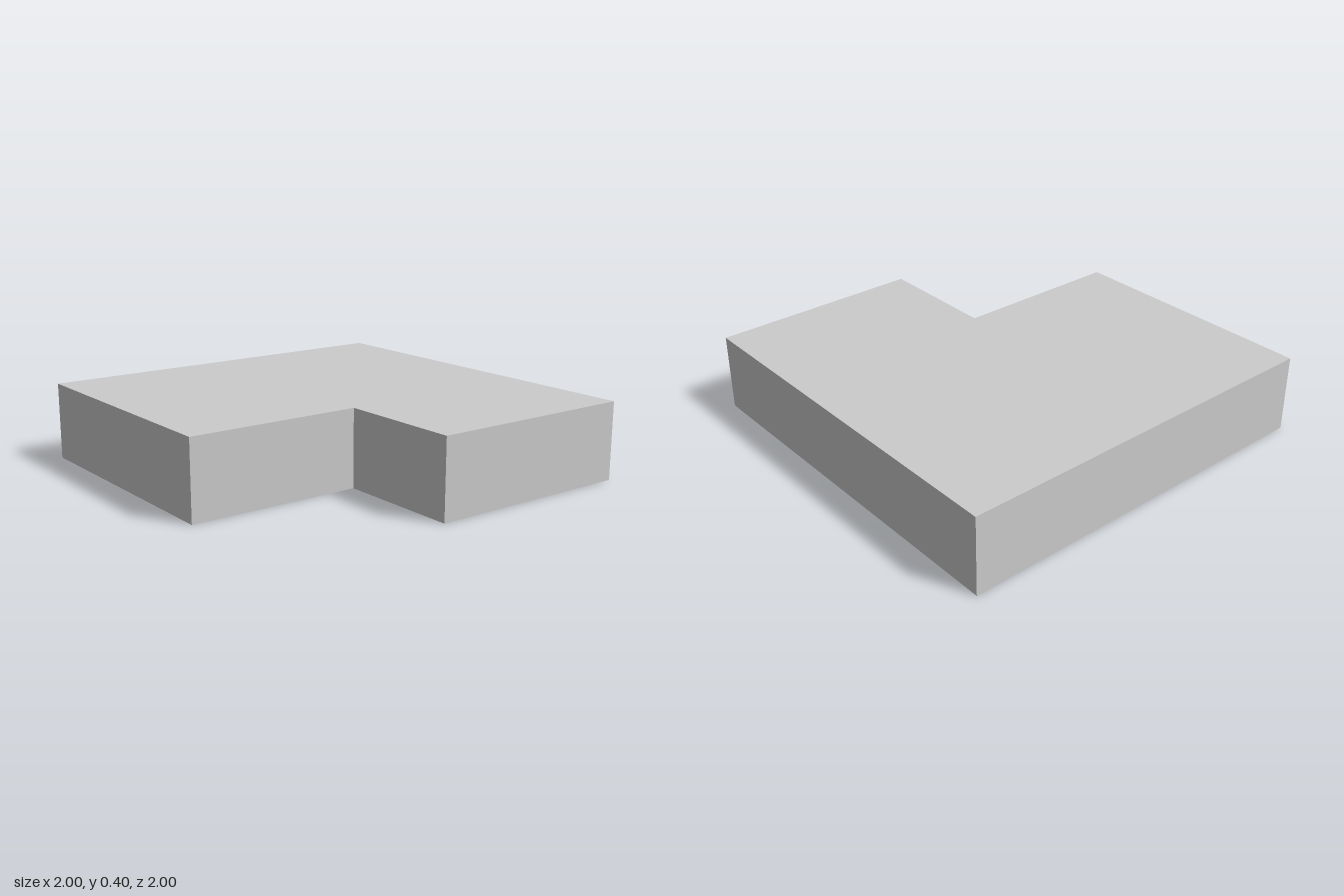
import * as THREE from 'three';

export function createModel() {
  const group = new THREE.Group();
  group.name = 'lShapedBlock';

  // L-shaped footprint, drawn with shape y = -z
  const footprint = new THREE.Shape(
    [[-1, -0.35], [-0.1, -0.35], [-0.1, -1], [1, -1], [1, 1], [-1, 1]]
      .map(([x, y]) => new THREE.Vector2(x, y))
  );

  // Extrude to the slab height and lay it flat on the ground
  const geometry = new THREE.ExtrudeGeometry(footprint, { depth: 0.4, bevelEnabled: false });
  geometry.rotateX(-Math.PI / 2);

  const slab = new THREE.Mesh(geometry, new THREE.MeshStandardMaterial({ color: 0xcccccc }));
  slab.name = 'slab';
  group.add(slab);
  return group;
}
